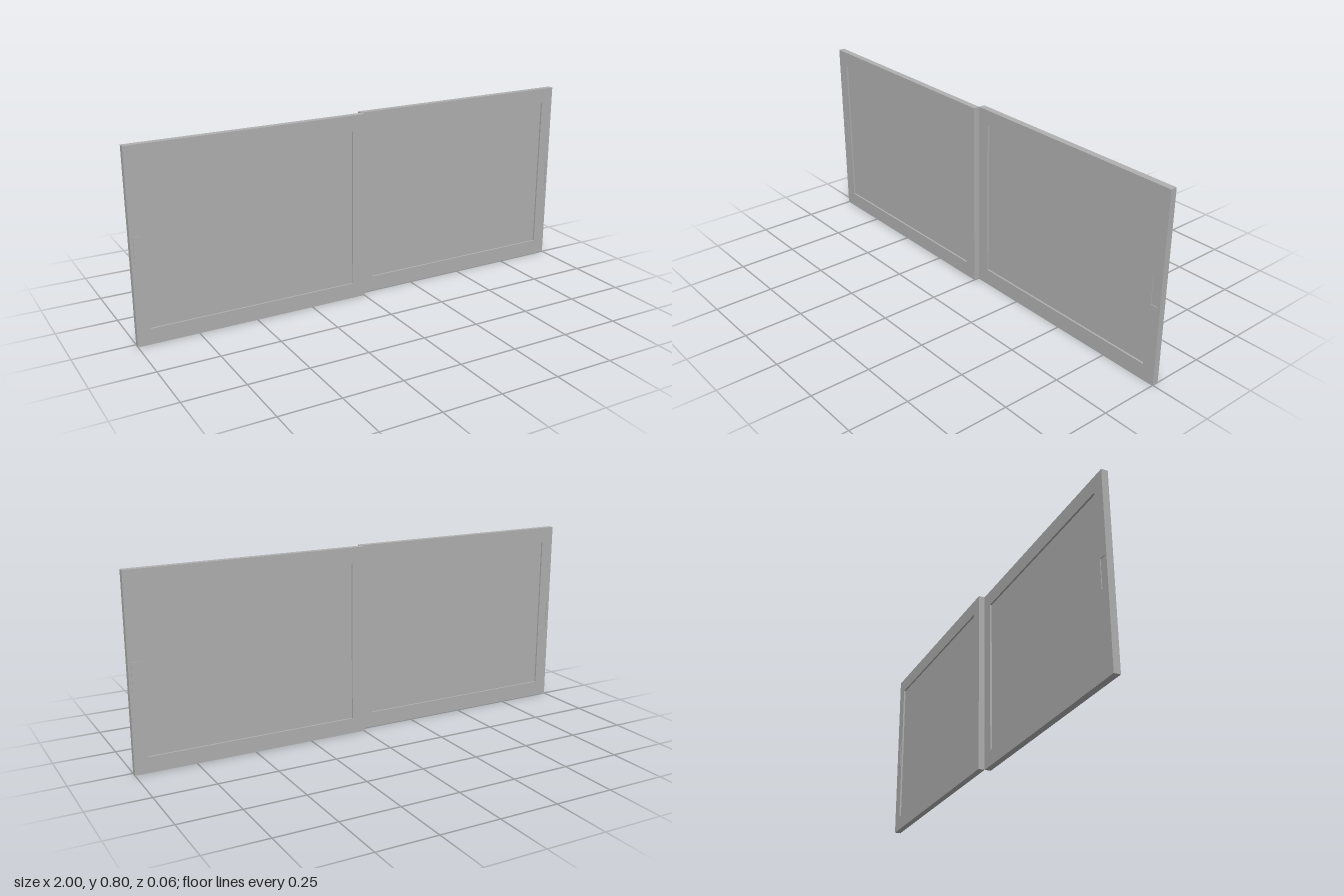
import * as THREE from 'three';

const HEIGHT = 0.8, DEPTH = 0.027;

// Adds a rectangle outline to a Shape or Path
function rect(path, x0, y0, x1, y1) {
  path.moveTo(x0, y0);
  path.lineTo(x1, y0);
  path.lineTo(x1, y1);
  path.lineTo(x0, y1);
  path.closePath();
  return path;
}

function boxBetween(name, material, x0, y0, z0, x1, y1, z1) {
  const mesh = new THREE.Mesh(new THREE.BoxGeometry(x1 - x0, y1 - y0, z1 - z0), material);
  mesh.position.set((x0 + x1) / 2, (y0 + y1) / 2, (z0 + z1) / 2);
  mesh.name = name;
  return mesh;
}

// One sliding panel: x from -1 to 0, z from 0 to DEPTH
function slidingPanel(name, material) {
  const panel = new THREE.Group();
  panel.name = name;

  const opening = [-0.945, 0.066, -0.055, HEIGHT - 0.066];
  const grip = [-0.988, 0.33, -0.957, 0.45];

  // Frame with the pane opening and the handle slot
  const outline = rect(new THREE.Shape(), -1, 0, 0, HEIGHT);
  outline.holes.push(rect(new THREE.Path(), ...opening), rect(new THREE.Path(), ...grip));
  const frame = new THREE.Mesh(
    new THREE.ExtrudeGeometry(outline, { depth: DEPTH, bevelEnabled: false }), material);
  frame.name = 'frame';
  panel.add(frame);

  // Pane recessed on both sides
  const [ox0, oy0, ox1, oy1] = opening;
  panel.add(boxBetween('pane', material, ox0, oy0, 0.008, ox1, oy1, DEPTH - 0.008));

  // Handle: slightly proud outside, slightly sunk inside
  const [gx0, gy0, gx1, gy1] = grip;
  panel.add(boxBetween('handle', material, gx0, gy0, 0.003, gx1, gy1, DEPTH + 0.0025));
  return panel;
}

export function createModel() {
  const grey = new THREE.MeshStandardMaterial({ color: 0xb0b0b0 });
  grey.name = 'grey';

  const model = new THREE.Group();
  model.name = 'slidingPanels';

  // The rear panel is the front one turned half round
  const front = slidingPanel('frontPanel', grey);
  const rear = slidingPanel('rearPanel', grey);
  rear.rotation.y = Math.PI;
  model.add(front, rear);
  return model;
}
